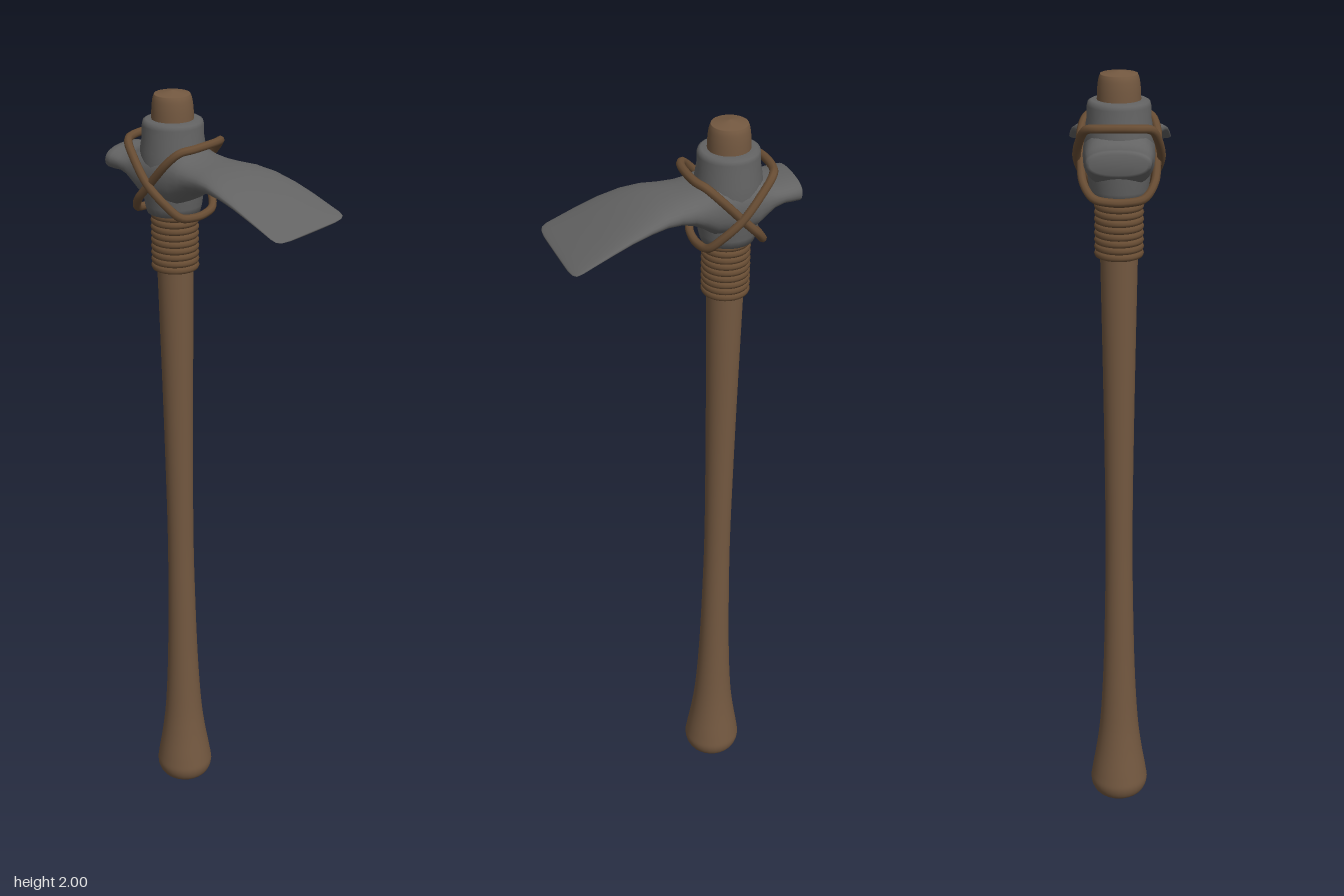
import * as THREE from 'three';

const TAU = Math.PI * 2;
const HEAD_X = -0.134;
const v2 = ([x, y]) => new THREE.Vector2(x, y);

// Skin of superellipse sections along x: [x, centre y, half height, half width]
function loft(stations, sides, power) {
  const pos = [], idx = [];
  const bend = (s) => Math.sign(s) * Math.pow(Math.abs(s), 2 / power);
  stations.forEach(([x, yc, hy, hz]) => {
    for (let j = 0; j < sides; j++) {
      const t = (j / sides) * TAU;
      pos.push(x, yc + hy * bend(Math.sin(t)), hz * bend(Math.cos(t)));
    }
  });
  for (let i = 0; i < stations.length - 1; i++) {
    for (let j = 0; j < sides; j++) {
      const k = (j + 1) % sides;
      const a = i * sides + j, c = i * sides + k;
      idx.push(a, a + sides, c, a + sides, c + sides, c);
    }
  }
  const geo = new THREE.BufferGeometry();
  geo.setAttribute('position', new THREE.Float32BufferAttribute(pos, 3));
  geo.setIndex(idx);
  geo.computeVertexNormals();
  return geo;
}

export function createModel() {
  const group = new THREE.Group();
  const wood = new THREE.MeshStandardMaterial({ color: 0x735840 });
  const stone = new THREE.MeshStandardMaterial({ color: 0x636363 });
  const cord = new THREE.MeshStandardMaterial({ color: 0x674c33 });
  const add = (name, geo, mat) => {
    const mesh = new THREE.Mesh(geo, mat);
    mesh.name = name;
    group.add(mesh);
    return mesh;
  };

  // Handle: swelling grip, slim shaft, leaning slightly towards the top
  const side = new THREE.SplineCurve([
    [0.045, 0.003], [0.066, 0.018], [0.0765, 0.045], [0.073, 0.08], [0.06, 0.16], [0.05, 0.25],
    [0.042, 0.4], [0.037, 0.6], [0.035, 0.8], [0.038, 1.1], [0.043, 1.4], [0.047, 1.6],
    [0.052, 1.8], [0.052, 1.93], [0.049, 1.975], [0.044, 1.992],
  ].map(v2)).getPoints(75);
  const shaft = new THREE.LatheGeometry([v2([0, 0]), ...side, v2([0, 2])], 28);
  const p = shaft.attributes.position;
  for (let i = 0; i < p.count; i++) p.setX(i, p.getX(i) - 0.115 - 0.01 * p.getY(i));
  add('handle', shaft, wood);

  // Collar around the handle
  const collar = new THREE.LatheGeometry([
    [0.045, 1.7], [0.066, 1.7], [0.071, 1.72], [0.078, 1.77], [0.083, 1.81], [0.081, 1.86],
    [0.076, 1.89], [0.0755, 1.918], [0.073, 1.928], [0.066, 1.932], [0.048, 1.932],
  ].map(v2), 24);
  add('headCollar', collar, stone).position.x = HEAD_X;

  // Hammer poll, body and drooping adze blade in one skin
  add('headBlade', loft([
    [-0.297, 1.815, 0, 0], [-0.297, 1.815, 0.024, 0.066], [-0.292, 1.815, 0.031, 0.075],
    [-0.275, 1.815, 0.031, 0.077], [-0.25, 1.814, 0.028, 0.078], [-0.225, 1.811, 0.035, 0.08],
    [-0.205, 1.806, 0.051, 0.082], [-0.185, 1.802, 0.068, 0.084], [-0.134, 1.8, 0.08, 0.086],
    [-0.08, 1.802, 0.071, 0.086], [-0.05, 1.806, 0.053, 0.086], [-0.02, 1.811, 0.04, 0.088],
    [0.015, 1.815, 0.032, 0.093], [0.055, 1.817, 0.027, 0.104], [0.1, 1.811, 0.022, 0.115],
    [0.15, 1.798, 0.017, 0.122], [0.2, 1.78, 0.012, 0.127], [0.245, 1.762, 0.008, 0.13],
    [0.275, 1.75, 0.005, 0.132], [0.288, 1.744, 0.004, 0.128], [0.294, 1.741, 0.003, 0.115],
    [0.297, 1.74, 0.002, 0.09], [0.297, 1.74, 0, 0],
  ], 32, 2.3), stone);

  // Cord wound round the handle below the head
  const ring = new THREE.TorusGeometry(0.051, 0.0095, 8, 32);
  ring.rotateX(Math.PI / 2);
  for (let i = 0; i < 9; i++) {
    add('cordRing', ring, cord).position.set(-0.131, 1.56 + i * 0.0168, 0);
  }

  // Two slanted loops that cross on the front and back of the head
  const half = [
    [-0.098, 1.882, 0.045], [-0.083, 1.877, 0.075], [-0.055, 1.85, 0.09], [0, 1.79, 0.092],
    [0.045, 1.742, 0.084], [0.07, 1.711, 0.06], [0.078, 1.703, 0.02],
  ];
  for (const dir of [1, -1]) {
    const lift = dir > 0 ? 0.008 : -0.002;
    const loop = half.map(([x, y, z], i) => [x, y, i === 3 ? z + lift : z]);
    const back = loop.map(([x, y, z]) => [x, y, -z]).reverse();
    const path = new THREE.CatmullRomCurve3([...loop, ...back].map(
      ([x, y, z]) => new THREE.Vector3(-0.13 + dir * x, y, z)), true);
    add('crossLashing', new THREE.TubeGeometry(path, 80, 0.0105, 8, true), cord);
  }

  return group;
}
